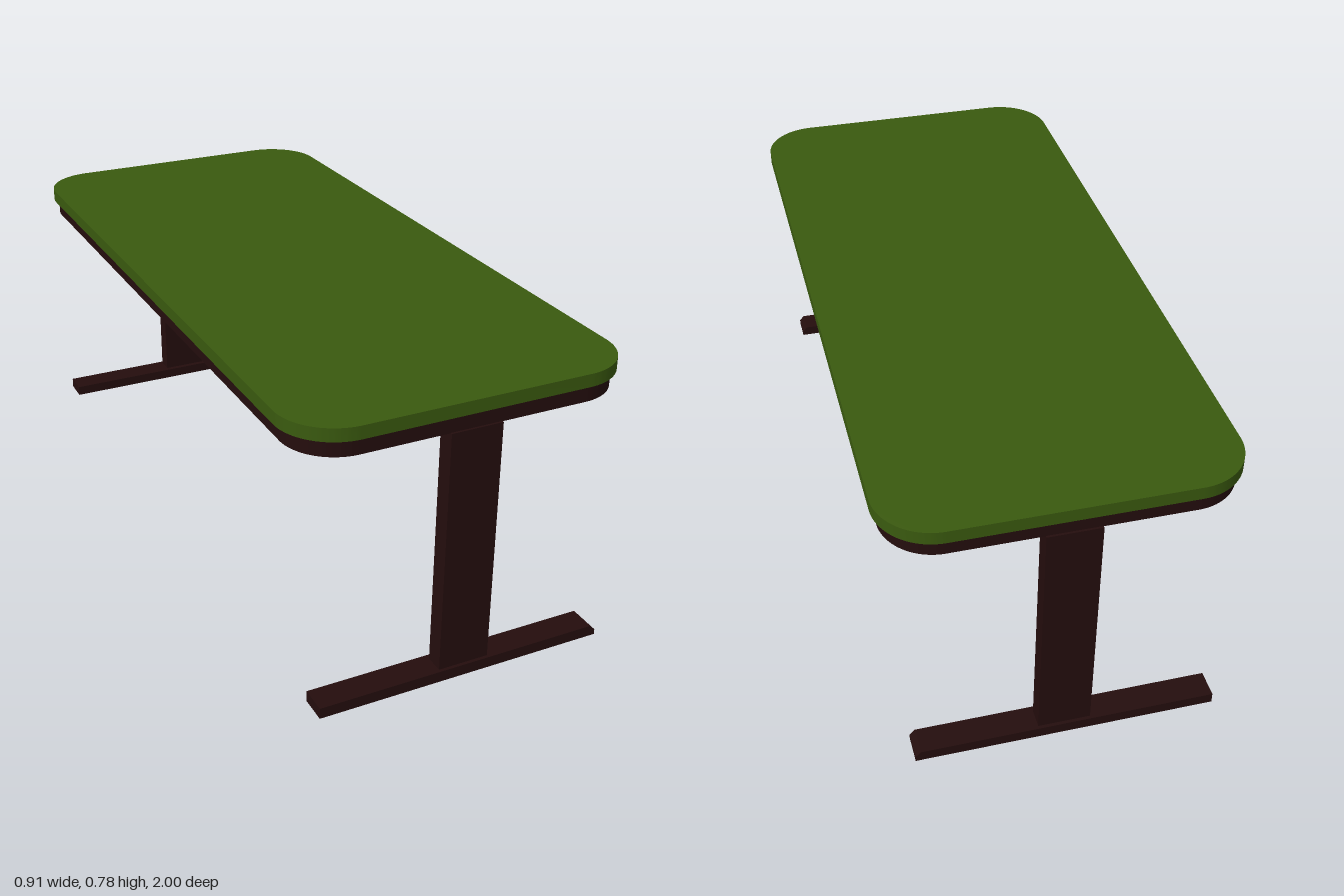
import * as THREE from 'three';
import { toCreasedNormals } from 'three/addons/utils/BufferGeometryUtils.js';

// Rounded rectangle outline, given half sizes and corner radius
function roundedRect(hx, hz, r, Type = THREE.Shape) {
  const s = new Type();
  s.moveTo(hx, -hz + r);
  s.absarc(hx - r, hz - r, r, 0, Math.PI / 2);
  s.absarc(-hx + r, hz - r, r, Math.PI / 2, Math.PI);
  s.absarc(-hx + r, -hz + r, r, Math.PI, Math.PI * 1.5);
  s.absarc(hx - r, -hz + r, r, Math.PI * 1.5, Math.PI * 2);
  s.closePath();
  return s;
}

// Horizontal slab from an outline, between two heights
function slab(shape, y0, y1) {
  const g = new THREE.ExtrudeGeometry(shape, { depth: y1 - y0, bevelEnabled: false, curveSegments: 16 });
  g.rotateX(-Math.PI / 2);
  g.translate(0, y0, 0);
  return toCreasedNormals(g, 0.5);
}

export function createModel() {
  const group = new THREE.Group();
  group.name = 'table';

  const green = new THREE.MeshStandardMaterial({ color: 0x3a5a0f });
  green.name = 'greenTop';
  const brown = new THREE.MeshStandardMaterial({ color: 0x240d0d });
  brown.name = 'darkBrownFrame';

  const add = (name, geometry, material, parent = group) => {
    const mesh = new THREE.Mesh(geometry, material);
    mesh.name = name;
    parent.add(mesh);
    return mesh;
  };

  // Tabletop
  add('tabletop', slab(roundedRect(0.456, 0.998, 0.15), 0.742, 0.777), green);

  // Ring frame beneath the top
  const ring = roundedRect(0.441, 0.985, 0.136);
  ring.holes.push(roundedRect(0.391, 0.935, 0.086, THREE.Path));
  add('underFrame', slab(ring, 0.697, 0.742), brown);

  // Foot profile with one chamfered end
  const footShape = new THREE.Shape([
    [-0.406, 0], [0.396, 0], [0.396, 0.015], [0.382, 0.03], [-0.406, 0.03],
  ].map(([x, y]) => new THREE.Vector2(x, y)));
  const footGeometry = new THREE.ExtrudeGeometry(footShape, { depth: 0.074, bevelEnabled: false });
  footGeometry.translate(0, 0, -0.037);
  const postGeometry = new THREE.BoxGeometry(0.14, 0.669, 0.05);

  // Front and back supports
  for (const [name, side] of [['front', 1], ['back', -1]]) {
    const support = new THREE.Group();
    support.name = `${name}Support`;
    group.add(support);
    add(`${name}Leg`, postGeometry, brown, support).position.set(0, 0.3635, side * 0.966);
    add(`${name}Foot`, footGeometry, brown, support).position.z = side * 0.963;
  }

  return group;
}
